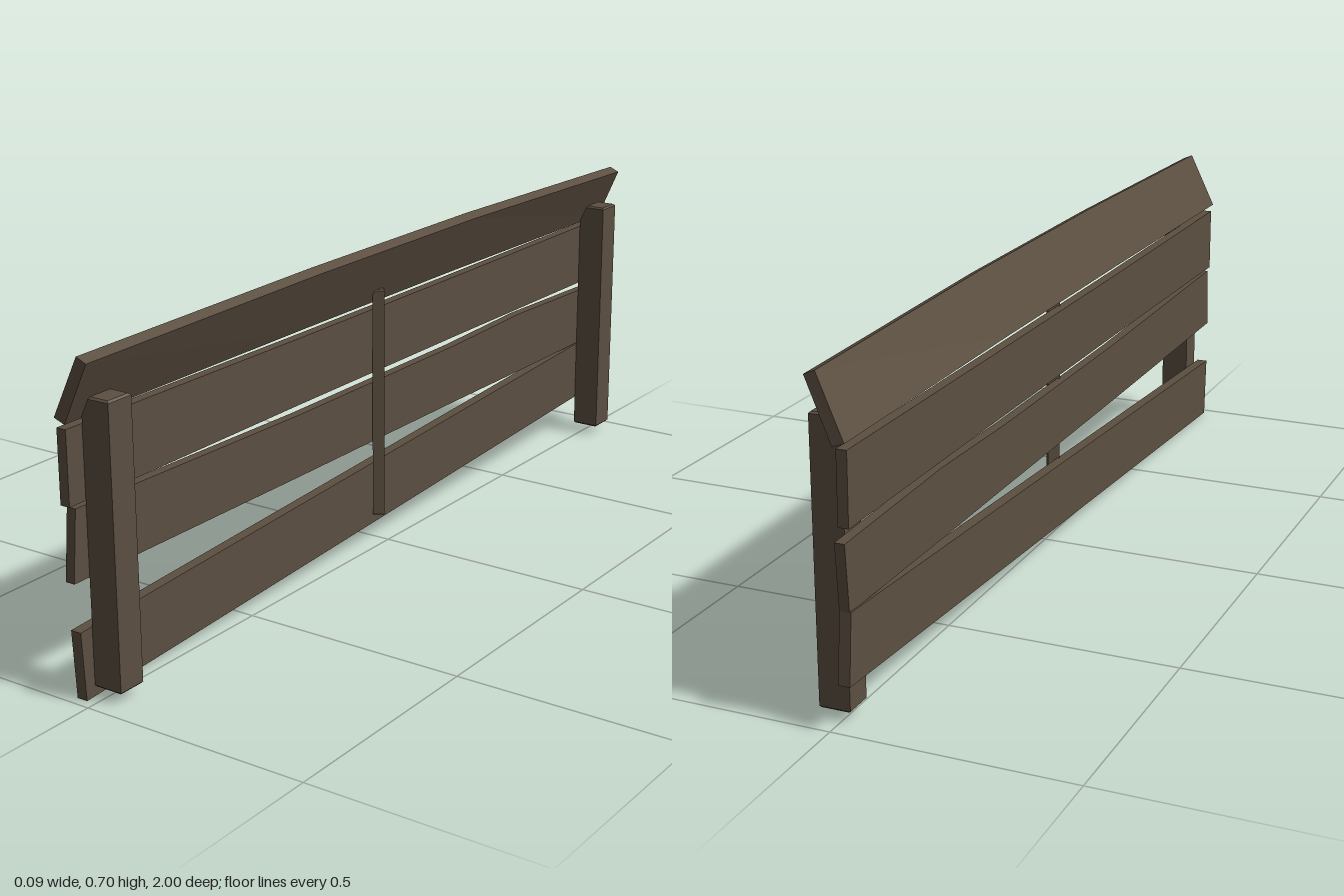
import * as THREE from 'three';

const wood = new THREE.MeshStandardMaterial({ color: 0x5c4f41 });
wood.name = 'weatheredWood';

// Board lofted through four-cornered sections; each section is four [x, y, z] corners
// ordered outer bottom, outer top, inner top, inner bottom, running from +z to -z.
function board(name, sections) {
  const pos = [];
  const quad = (a, b, c, d) => pos.push(...a, ...b, ...c, ...a, ...c, ...d);
  for (let i = 0; i < sections.length - 1; i++) {
    const s = sections[i], t = sections[i + 1];
    for (let k = 0; k < 4; k++) {
      const n = (k + 1) % 4;
      quad(s[k], s[n], t[n], t[k]);
    }
  }
  const s = sections[0], e = sections[sections.length - 1];
  quad(s[3], s[2], s[1], s[0]);
  quad(e[0], e[1], e[2], e[3]);
  const geo = new THREE.BufferGeometry();
  geo.setAttribute('position', new THREE.Float32BufferAttribute(pos, 3));
  geo.computeVertexNormals();
  const mesh = new THREE.Mesh(geo, wood);
  mesh.name = name;
  return mesh;
}

// Upright plank from rows of [zBottom, zTop, yBottom, yTop]
function plank(name, rows, xOut = -0.044, xIn = -0.02) {
  return board(name, rows.map(([zb, zt, yb, yt]) => [
    [xOut, yb, zb], [xOut, yt, zt], [xIn, yt, zt], [xIn, yb, zb],
  ]));
}

// Square post with small chamfers on every edge
function post(name, w, d, y0, y1, bevel) {
  const a = w / 2 - bevel, b = d / 2 - bevel;
  const shape = new THREE.Shape([
    new THREE.Vector2(-a, -b), new THREE.Vector2(a, -b),
    new THREE.Vector2(a, b), new THREE.Vector2(-a, b),
  ]);
  const geo = new THREE.ExtrudeGeometry(shape, {
    depth: y1 - y0 - 2 * bevel, bevelEnabled: true,
    bevelThickness: bevel, bevelSize: bevel, bevelSegments: 1,
  });
  geo.rotateX(-Math.PI / 2);
  geo.translate(0, y0 + bevel, 0);
  const mesh = new THREE.Mesh(geo, wood);
  mesh.name = name;
  return mesh;
}

export function createModel() {
  const group = new THREE.Group();
  group.name = 'woodenFence';

  // Three side planks, the lowest one sagging towards the front
  group.add(plank('upperPlank', [
    [1, 1, 0.397, 0.547], [0.3, 0.3, 0.4, 0.544],
    [-0.3, -0.3, 0.4, 0.544], [-0.98, -0.978, 0.398, 0.546],
  ], -0.042));
  group.add(plank('middlePlank', [
    [0.998, 0.985, 0.245, 0.39], [0.3, 0.3, 0.241, 0.378],
    [-0.3, -0.3, 0.24, 0.378], [-0.6, -0.6, 0.238, 0.385], [-0.985, -0.995, 0.238, 0.375],
  ], -0.041));
  group.add(plank('lowerPlank', [
    [0.98, 0.988, 0, 0.143], [-0.998, -0.985, 0.097, 0.24],
  ]));

  // Tilted cap board, bowed slightly upward in the middle
  const cap = [[1, 1, -0.01], [0.3, 0.3, 0], [-0.3, -0.3, 0], [-0.995, -0.982, -0.013]];
  group.add(board('capBoard', cap.map(([zb, zt, dy]) => [
    [-0.047, 0.568 + dy * 0.3, zb], [0.014, 0.7 + dy, zt],
    [0.037, 0.69 + dy, zt], [-0.022, 0.559 + dy * 0.3, zb],
  ])));

  // End posts
  for (const [name, z] of [['frontPost', 0.925], ['backPost', -0.925]]) {
    const p = post(name, 0.065, 0.063, 0.02, 0.6, 0.004);
    p.position.set(0.0125, 0, z);
    group.add(p);
  }

  // Thin central batten, turned on its axis
  const batten = post('centreBatten', 0.026, 0.022, 0.07, 0.59, 0.002);
  batten.position.set(-0.008, 0, 0.026);
  batten.rotation.y = 0.6;
  group.add(batten);

  return group;
}
